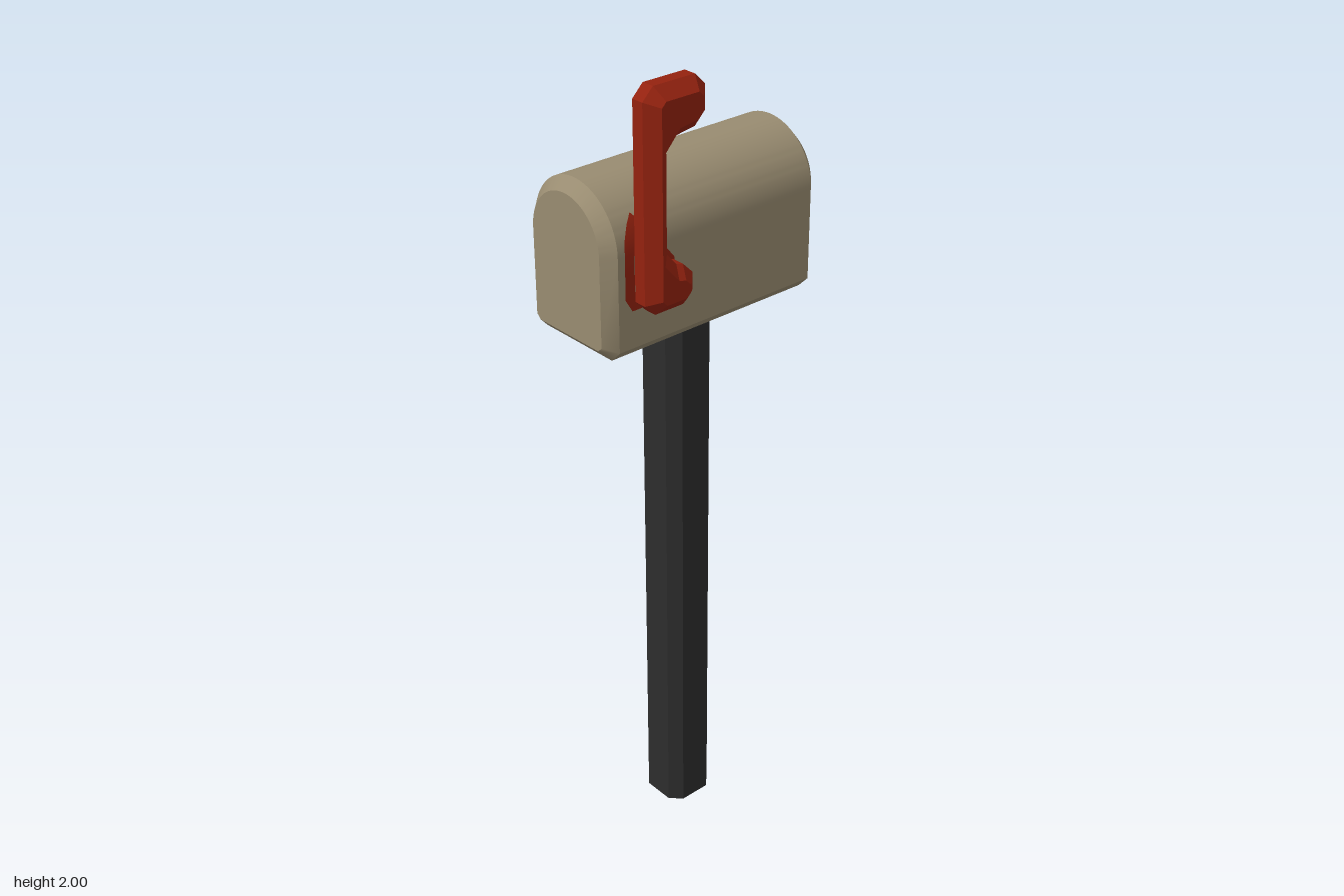
import * as THREE from 'three';
import { toCreasedNormals } from 'three/addons/utils/BufferGeometryUtils.js';

const BEVEL = 0.027;
const BOX_X = -0.044, BOX_HALF = 0.137, ARCH_Y = 1.628;

// Solid from an outline, chamfered inward on both faces
function bevelled(shape, thickness) {
  const geometry = new THREE.ExtrudeGeometry(shape, {
    depth: thickness - 2 * BEVEL, bevelEnabled: true, bevelSegments: 1,
    bevelSize: BEVEL, bevelThickness: BEVEL, bevelOffset: -BEVEL, curveSegments: 24,
  });
  return geometry.translate(0, 0, -(thickness - 2 * BEVEL) / 2);
}

// Thin painted strip through rows of two points
function strip(rows) {
  const index = [];
  for (let i = 0; i < rows.length - 1; i++) {
    const k = i * 2;
    index.push(k, k + 2, k + 1, k + 1, k + 2, k + 3);
  }
  const geometry = new THREE.BufferGeometry();
  geometry.setAttribute('position', new THREE.Float32BufferAttribute(rows.flat(2), 3));
  geometry.setIndex(index);
  geometry.computeVertexNormals();
  return geometry;
}

export function createModel() {
  const model = new THREE.Group();
  model.name = 'mailbox';
  const material = (name, color, options = {}) =>
    Object.assign(new THREE.MeshStandardMaterial({ color, ...options }), { name });
  const tan = material('tan paint', 0x998c71, { side: THREE.DoubleSide });
  const black = material('black post', 0x2d2d2d, { side: THREE.DoubleSide, flatShading: true });
  const red = material('red paint', 0x94220f, { side: THREE.DoubleSide });
  const add = (name, geometry, mat) => {
    const mesh = new THREE.Mesh(geometry, mat);
    mesh.name = name;
    model.add(mesh);
    return mesh;
  };

  // Hollow post: square with chamfered corners
  const post = new THREE.CylinderGeometry(1, 1, 1.4, 8, 1, true, Math.PI / 8);
  const p = post.attributes.position;
  const side = (a, b) => Math.sign(a) * (Math.abs(a) > Math.abs(b) ? 0.066 : 0.039);
  for (let i = 0; i < p.count; i++) {
    const x = p.getX(i), z = p.getZ(i);
    p.setX(i, side(x, z));
    p.setZ(i, side(z, x));
  }
  add('post', post, black).position.set(BOX_X, 0.7, 0);

  // Arched box with chamfered floor edges and ends
  const arch = new THREE.Shape();
  arch.moveTo(-BOX_HALF + BEVEL, 1.385);
  arch.lineTo(BOX_HALF - BEVEL, 1.385);
  arch.lineTo(BOX_HALF, 1.385 + BEVEL);
  arch.lineTo(BOX_HALF, ARCH_Y);
  arch.absarc(0, ARCH_Y, BOX_HALF, 0, Math.PI, false);
  arch.lineTo(-BOX_HALF, 1.385 + BEVEL);
  arch.closePath();
  add('box', toCreasedNormals(bevelled(arch, 0.604), 0.6), tan).position.x = BOX_X;

  // Flag: pole with a foot below and a tab above, drawn as [-z, y]
  const outline = [
    [-0.228, 1.51], [-0.152, 1.51], [-0.125, 1.537], [-0.125, 1.575], [-0.152, 1.602],
    [-0.17, 1.607], [-0.195, 1.635], [-0.195, 1.855], [-0.168, 1.885], [-0.12, 1.892],
    [-0.093, 1.919], [-0.093, 1.973], [-0.12, 2.0], [-0.228, 2.0], [-0.255, 1.973], [-0.255, 1.537],
  ];
  const flagShape = new THREE.Shape(outline.map(([x, y]) => new THREE.Vector2(x, y)));
  add('flag', bevelled(flagShape, 0.084).rotateY(Math.PI / 2), red).position.x = 0.138;

  // Red mount patch following the box wall: y, back z, front z
  const mountRows = [
    [1.5, 0.15, 0.24], [1.53, 0.125, 0.258], [1.59, 0.125, 0.258], [1.628, 0.155, 0.258],
    [1.66, 0.19, 0.255], [1.69, 0.205, 0.24], [1.708, 0.221, 0.223],
  ].map(([y, back, front]) => {
    const rise = Math.max(0, y - ARCH_Y);
    const x = BOX_X + Math.sqrt(BOX_HALF ** 2 - rise ** 2) + 0.002;
    return [[x, y, back], [x, y, front]];
  });
  add('flagMount', strip(mountRows), red);

  // Tan patch on the inner front chamfer of the flag: y, width
  const patchRows = [[1.54, 0.014], [1.56, 0.02], [1.64, 0.023], [1.67, 0.017], [1.69, 0.002]]
    .map(([y, w]) => [[0.095 + w, y, 0.229 + w], [0.095, y, 0.229]]);
  add('flagPatch', strip(patchRows), tan);

  return model;
}
